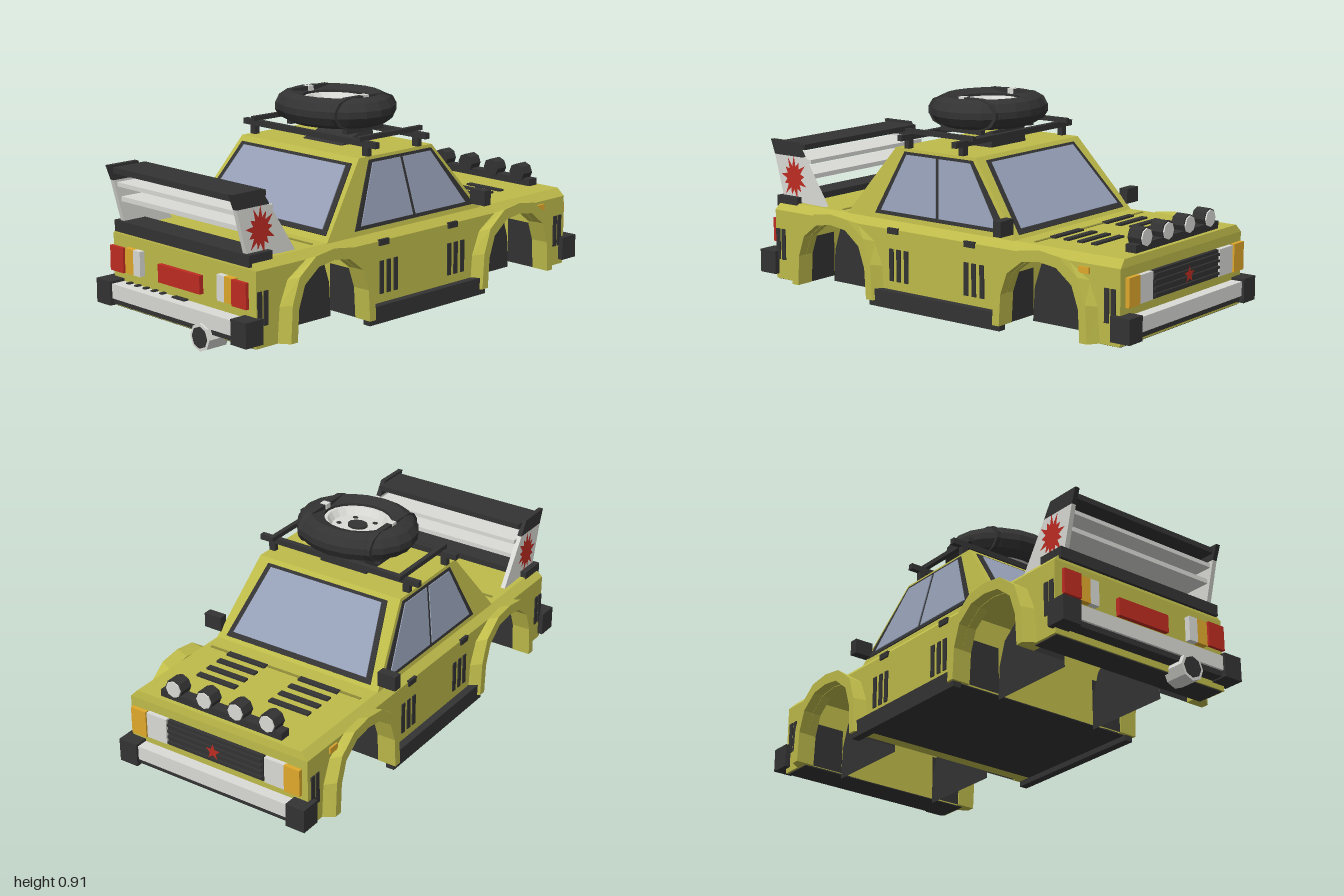
import * as THREE from 'three';
import { ConvexGeometry } from 'three/addons/geometries/ConvexGeometry.js';

export function createModel() {
  const car = new THREE.Group();
  car.name = 'rallyCar';
  const mat = (name, color) => {
    const m = new THREE.MeshStandardMaterial({ color, flatShading: true, side: THREE.DoubleSide });
    m.name = name;
    return m;
  };
  const paint = mat('olive paint', 0xbebb4a), seam = mat('seam olive', 0x908d3a);
  const dark = mat('dark trim', 0x333333), white = mat('light grey', 0xdadad6);
  const glass = mat('glass', 0x959fb6), red = mat('red', 0xbe2c22), orange = mat('amber', 0xe0a92c);
  const V = (x, y, z) => new THREE.Vector3(x, y, z);

  // Helpers
  const add = (name, m, geo) => {
    const mesh = new THREE.Mesh(geo, m);
    mesh.name = name;
    car.add(mesh);
    return mesh;
  };
  const box = (name, m, x0, x1, y0, y1, z0, z1) =>
    add(name, m, new THREE.BoxGeometry(Math.abs(x1 - x0), y1 - y0, Math.abs(z1 - z0))
      .translate((x0 + x1) / 2, (y0 + y1) / 2, (z0 + z1) / 2));
  const hull = (name, m, pts) => add(name, m, new ConvexGeometry(pts));
  const sides = fn => [1, -1].forEach(fn);
  // thin plate standing out from a flat face, away from the car's middle
  const panel = (name, m, pts, depth) => {
    const n = pts[1].clone().sub(pts[0]).cross(pts[2].clone().sub(pts[0])).normalize();
    if (n.dot(pts[0].clone().sub(V(0, 0.3, 0.05))) < 0) n.negate();
    hull(name, m, [...pts, ...pts.map(p => p.clone().addScaledVector(n, depth))]);
  };
  // (z, y) outlines, extruded along x or laid flat at one x, facing outward
  const toShape = pts => new THREE.Shape(pts.map(p => new THREE.Vector2(...p)));
  const extrudeX = (shape, x0, x1) =>
    new THREE.ExtrudeGeometry(shape, { depth: x1 - x0, bevelEnabled: false }).rotateY(-Math.PI / 2).translate(x1, 0, 0);
  const flatX = (pts, x) => new THREE.ShapeGeometry(toShape(pts.map(([z, y]) => [x > 0 ? -z : z, y])))
    .rotateY(Math.sign(x) * Math.PI / 2).translate(x, 0, 0);

  // Wheel arch outline from +z to -z
  const half = [[1, 0], [0.96, 0.45], [0.8, 0.76], [0.42, 0.96]];
  const unit = [...half, [0, 1], ...half.map(([u, v]) => [-u, v]).reverse()];
  const arch = (zc, a, h, y0) => unit.map(([u, v]) => [zc + u * a, y0 + v * h]);
  const axles = [0.545, -0.575];

  // Body sides with arches, solid middle blocks between open wells, chamfered shoulders
  const sideShape = toShape([[0.92, 0.36], [0.92, 0.05],
    ...arch(axles[0], 0.2, 0.293, 0.05), ...arch(axles[1], 0.2, 0.293, 0.05),
    [-0.935, 0.05], [-0.935, 0.36]]);
  sides(s => add('bodySide', paint, extrudeX(sideShape, s * 0.42 - 0.02, s * 0.42 + 0.02)));
  for (const [z0, z1] of [[0.79, 0.92], [-0.36, 0.33], [-0.935, -0.79]])
    box('bodyBlock', paint, -0.4, 0.4, 0.05, 0.36, z0, z1);
  const slab = (name, m, y0, w0, f0, b0, y1, w1, f1, b1) => hull(name, m, [1, -1].flatMap(s =>
    [V(s * w0, y0, f0), V(s * w0, y0, b0), V(s * w1, y1, f1), V(s * w1, y1, b1)]));
  slab('upperBody', paint, 0.36, 0.44, -0.935, 0.92, 0.393, 0.408, -0.93, 0.915);
  slab('cabin', paint, 0.39, 0.41, -0.4, 0.515, 0.695, 0.355, -0.15, 0.28);
  box('hoodSeam', seam, -0.38, 0.38, 0.39, 0.396, -0.485, -0.472);
  box('trunkSeam', seam, -0.38, 0.38, 0.39, 0.396, 0.562, 0.575);
  box('floor', dark, -0.43, 0.43, 0.046, 0.052, -0.3, 0.33);
  box('frontFloor', dark, -0.43, 0.43, 0.046, 0.052, -0.93, -0.79);
  box('rearFloor', dark, -0.43, 0.43, 0.046, 0.052, 0.79, 0.915);

  // Flared arches and wheel-well liners
  const section = [[0.2, 0.295, 0.438], [0.2, 0.295, 0.485], [0.235, 0.342, 0.485], [0.268, 0.322, 0.436]];
  sides(s => axles.forEach(zc => {
    const pos = [], idx = [];
    section.forEach(([a, h, x]) => arch(zc, a, h, 0.05).forEach(([z, y]) => pos.push(s * x, y, z)));
    const n = unit.length;
    for (let i = 0; i < section.length; i++) for (let j = 0; j < n - 1; j++) {
      const k = (i + 1) % section.length, a = i * n + j, b = k * n + j;
      idx.push(...(s > 0 ? [a, b, a + 1, b, b + 1, a + 1] : [a, a + 1, b, b, a + 1, b + 1]));
    }
    for (const j of [0, n - 1]) idx.push(j, n + j, 2 * n + j, j, 2 * n + j, 3 * n + j);
    const geo = new THREE.BufferGeometry();
    geo.setAttribute('position', new THREE.Float32BufferAttribute(pos, 3));
    geo.setIndex(idx);
    const flat = geo.toNonIndexed();
    flat.computeVertexNormals();
    add('wheelFlare', paint, flat);
    add('wheelLiner', dark, flatX(arch(zc, 0.205, 0.322, 0.024), s * 0.25));
    // lower end walls of the liner
    for (const e of [1, -1]) {
      const wall = new THREE.PlaneGeometry(0.17, 0.2).rotateY(e > 0 ? Math.PI : 0);
      add('linerWall', dark, wall.translate(s * 0.335, 0.15, zc + e * 0.203));
    }
  }));

  // Windscreen and rear window
  const cabinX = y => 0.41 - 0.055 * (y - 0.39) / 0.305;
  const screenZ = y => -0.4 + 0.25 * (y - 0.39) / 0.305;
  const rearZ = y => 0.515 - 0.235 * (y - 0.39) / 0.305;
  const endWindow = (name, m, zf, y0, w0, y1, w1, d) => panel(name, m,
    [V(-w0, y0, zf(y0)), V(w0, y0, zf(y0)), V(w1, y1, zf(y1)), V(-w1, y1, zf(y1))], d);
  endWindow('windscreenTrim', dark, screenZ, 0.407, 0.367, 0.678, 0.302, 0.004);
  endWindow('windscreen', glass, screenZ, 0.425, 0.338, 0.667, 0.28, 0.008);
  endWindow('rearWindowTrim', dark, rearZ, 0.415, 0.385, 0.672, 0.333, 0.004);
  endWindow('rearWindow', glass, rearZ, 0.432, 0.356, 0.66, 0.308, 0.008);

  sides(s => {
    // Side windows
    const side = (name, m, pts, d) => panel(name, m, pts.map(([z, y]) => V(s * cabinX(y), y, z)), d);
    side('sideWindowTrim', dark, [[0.355, 0.412], [0.228, 0.682], [-0.14, 0.682], [-0.36, 0.412]], 0.004);
    side('rearSideGlass', glass, [[0.32, 0.428], [0.212, 0.67], [0.052, 0.67], [0.018, 0.428]], 0.008);
    side('frontSideGlass', glass, [[0.0, 0.428], [0.035, 0.67], [-0.13, 0.67], [-0.305, 0.428]], 0.008);
    // Mirrors, sills, handles and side vents
    box('mirror', dark, s * 0.4, s * 0.484, 0.415, 0.48, -0.385, -0.345);
    box('sill', dark, s * 0.436, s * 0.474, 0.026, 0.1, -0.37, 0.335);
    for (const z of [0.225, -0.19]) box('doorHandle', dark, s * 0.435, s * 0.448, 0.342, 0.367, z - 0.028, z + 0.028);
    for (const z of [0.235, 0.195, 0.153, -0.172, -0.212, -0.254, 0.904, 0.872, -0.873, -0.904])
      box('sideVent', dark, s * 0.435, s * 0.445, 0.138, 0.277, z - 0.011, z + 0.011);
    box('sideMarker', orange, s * 0.435, s * 0.448, 0.32, 0.347, -0.79, -0.74);
    // Tail lights
    box('tailLight', red, s * 0.335, s * 0.42, 0.21, 0.316, 0.94, 0.955);
    box('rearIndicator', orange, s * 0.282, s * 0.335, 0.21, 0.316, 0.915, 0.945);
    box('reverseLight', white, s * 0.238, s * 0.282, 0.21, 0.316, 0.915, 0.945);
    // Headlights
    box('headlight', white, s * 0.245, s * 0.345, 0.205, 0.32, -0.955, -0.92);
    box('frontIndicator', orange, s * 0.345, s * 0.42, 0.205, 0.325, -0.963, -0.945);
    // Bumper corners
    for (const e of [1, -1]) box('bumperCorner', dark, s * 0.375, s * 0.464, 0.072, 0.175, e * 0.905, e * 0.996);
    // Hood louvres
    for (const z of [-0.693, -0.626, -0.558, -0.49])
      box('hoodLouvre', dark, s * 0.085, s * 0.28, 0.39, 0.401, z - 0.014, z + 0.014);
  });

  // Bumpers, rear plate and its fixings, grille
  for (const e of [1, -1]) {
    box('bumperBar', white, -0.38, 0.38, 0.102, 0.164, e * 0.91, e * 0.985);
    box('bumperLower', dark, -0.38, 0.38, 0.078, 0.102, e * 0.91, e * 0.975);
  }
  box('rearPlate', red, -0.13, 0.128, 0.21, 0.286, 0.915, 0.94);
  for (const x of [-0.323, -0.271, -0.217, -0.163, -0.11]) box('bumperBolt', dark, x - 0.009, x + 0.009, 0.16, 0.17, 0.92, 0.945);
  box('bumperStep', dark, -0.04, 0.037, 0.16, 0.17, 0.92, 0.945);
  box('grille', dark, -0.238, 0.238, 0.205, 0.32, -0.952, -0.92);
  for (let i = 0; i < 4; i++) box('grilleSlat', dark, -0.235, 0.235, 0.215 + i * 0.027, 0.226 + i * 0.027, -0.962, -0.95);

  // Painted stars
  const star = (n, rx, ry, inner, jag) => Array.from({ length: 2 * n }, (_, i) => {
    const k = i % 2 ? inner : 1 - jag * ((i * 3) % 4) / 4, t = Math.PI / 2 + i * Math.PI / n;
    return [Math.cos(t) * rx * k, Math.sin(t) * ry * k];
  });
  add('grilleStar', red, new THREE.ShapeGeometry(toShape(star(5, 0.038, 0.038, 0.42, 0))).rotateY(Math.PI).translate(0, 0.262, -0.966));

  // Rear wing: end plates with dark tips, slats and lip
  sides(s => {
    const plate = (name, m, pts) => hull(name, m, pts.flatMap(([z, y]) => [V(s * 0.367, y, z), V(s * 0.388, y, z)]));
    plate('wingEndPlate', white, [[0.915, 0.4], [0.665, 0.39], [0.8, 0.598], [0.968, 0.598]]);
    plate('wingTip', dark, [[0.8, 0.598], [0.968, 0.598], [0.992, 0.662], [0.84, 0.662]]);
    add('wingBurst', red, flatX(star(13, 0.078, 0.1, 0.52, 0.4).map(([z, y]) => [z + 0.85, y + 0.503]), s * 0.391));
  });
  box('wingTopSlat', dark, -0.37, 0.37, 0.628, 0.652, 0.802, 0.97);
  box('wingMiddleSlat', white, -0.37, 0.37, 0.57, 0.588, 0.765, 0.95);
  box('wingLowerSlat', white, -0.37, 0.37, 0.505, 0.525, 0.755, 0.93);
  box('trunkLip', dark, -0.415, 0.415, 0.372, 0.42, 0.81, 0.932);

  // Exhaust pipe
  const pipe = (name, m, r, z0, z1, x, y, n) => add(name, m,
    new THREE.CylinderGeometry(r, r, z1 - z0, n).rotateX(Math.PI / 2).translate(x, y, (z0 + z1) / 2));
  pipe('exhaust', white, 0.058, 0.895, 0.996, 0.192, 0.06, 8);
  pipe('exhaustOpening', dark, 0.045, 0.96, 0.999, 0.192, 0.06, 8);

  // Spot lights on the hood
  box('lightBar', dark, -0.3, 0.3, 0.393, 0.425, -0.91, -0.86);
  for (const x of [-0.232, -0.078, 0.078, 0.232]) {
    pipe('spotLight', dark, 0.042, -0.91, -0.85, x, 0.447, 8);
    pipe('spotLens', white, 0.036, -0.916, -0.9, x, 0.447, 8);
  }

  // Roof scoop, opening forward
  slab('roofScoop', dark, 0.69, 0.118, -0.045, 0.16, 0.762, 0.108, -0.045, -0.03);

  // Roof rack
  for (const z of [-0.075, 0.22]) {
    box('rackCrossbar', dark, -0.4, 0.4, 0.732, 0.757, z - 0.012, z + 0.012);
    sides(s => box('rackPost', dark, s * 0.325, s * 0.355, 0.685, 0.735, z - 0.012, z + 0.012));
  }
  sides(s => box('rackRail', dark, s * 0.311, s * 0.331, 0.755, 0.775, -0.12, 0.25));

  // Spare wheel lying on the rack, slightly oval, with a dished rim
  const oval = 0.85, spareY = 0.84, spareZ = 0.065;
  const spare = (name, m, geo) => add(name, m, geo.scale(1, 1, oval).translate(0, spareY, spareZ));
  const lathe = pts => new THREE.LatheGeometry(pts.map(p => new THREE.Vector2(...p)), 20);
  const tread = [[0.21, -0.064], [0.248, -0.047], [0.27, -0.014], [0.27, 0.014], [0.248, 0.047], [0.21, 0.064]];
  spare('spareTyre', dark, lathe([[0.15, -0.045], ...tread, [0.15, 0.045], [0.15, -0.045]]));
  spare('spareRim', white, lathe([[0, -0.03], [0.12, -0.03], [0.149, -0.03], [0.149, 0.035], [0.135, 0.035], [0.115, 0.005], [0, 0.005]]));
  spare('spareHub', dark, new THREE.CylinderGeometry(0.045, 0.045, 0.012, 10).translate(0, 0.008, 0));
  for (let i = 0; i < 5; i++) {
    const t = Math.PI / 2 + i * Math.PI * 0.4;
    spare('wheelNutHole', dark, new THREE.CylinderGeometry(0.012, 0.012, 0.006, 8)
      .translate(Math.cos(t) * 0.085, 0.005, -Math.sin(t) * 0.085));
  }
  // Straps hugging the tyre where they cross it
  const chord = tread.map(([r, y]) => [oval * Math.sqrt(r * r - 0.168 ** 2) + 0.003, y * 1.03]);
  const strap = [...chord, ...chord.map(([z, y]) => [-z, y]).reverse()].map(([z, y]) => [z + spareZ, y + spareY]);
  sides(s => {
    add('strap', dark, extrudeX(toShape(strap), s * 0.168 - 0.013, s * 0.168 + 0.013));
    box('strapFoot', dark, s * 0.155, s * 0.181, 0.755, 0.78, -0.04, 0.18);
    box('strapBuckle', white, s * 0.15, s * 0.183, 0.88, 0.908, 0.05, 0.08);
  });
  return car;
}
